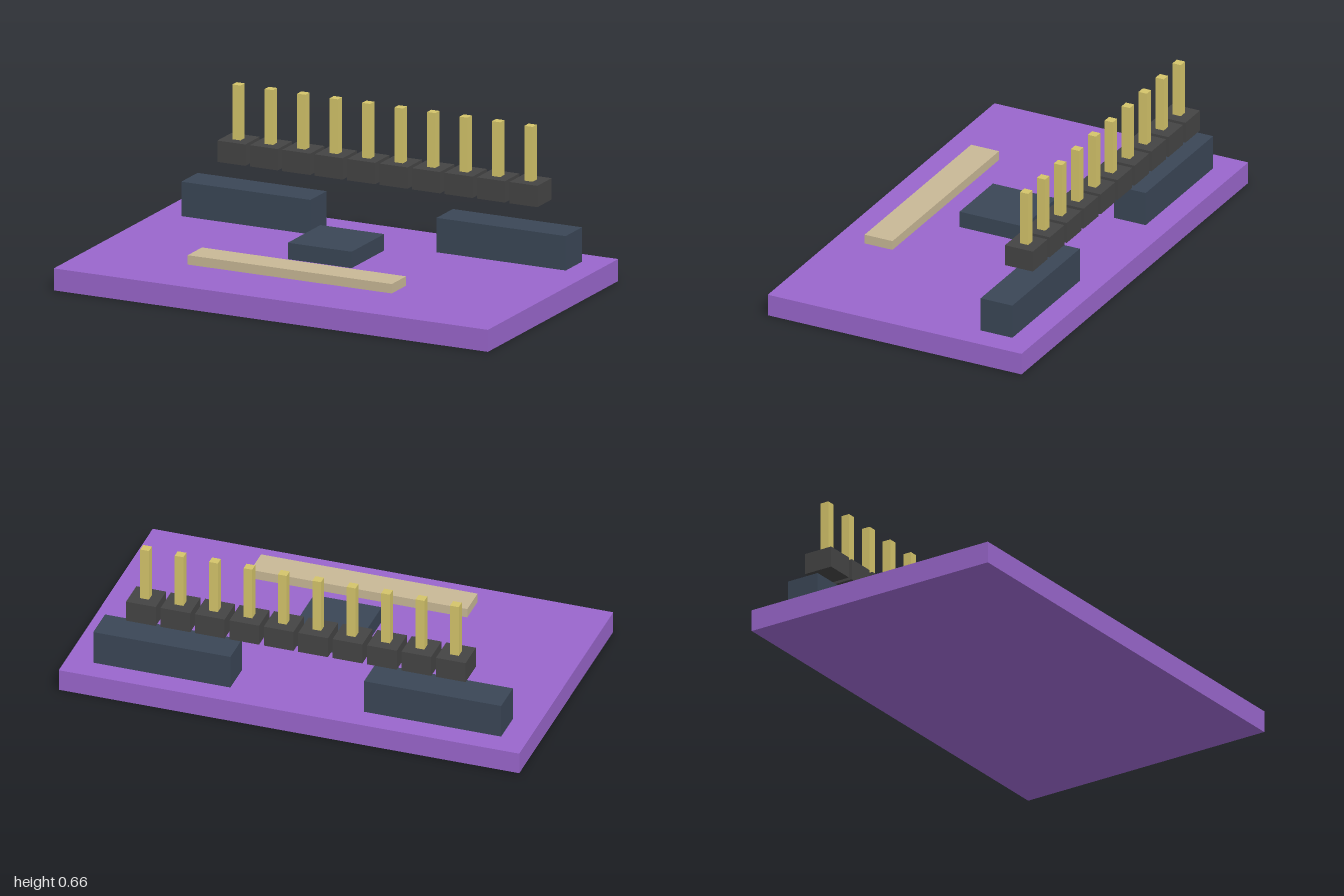
import * as THREE from 'three';

const material = (color) => new THREE.MeshStandardMaterial({ color });

// Box given by its size and the centre of its underside
function addBox(parent, name, mat, [w, h, d], [x, y, z]) {
  const mesh = new THREE.Mesh(new THREE.BoxGeometry(w, h, d), mat);
  mesh.name = name;
  mesh.position.set(x, y + h / 2, z);
  parent.add(mesh);
  return mesh;
}

export function createModel() {
  const model = new THREE.Group();
  model.name = 'circuitBoard';

  const purple = material(0x9966cc);
  const slate = material(0x3a4656);
  const black = material(0x444444);
  const gold = material(0xd4c46a);
  const tan = material(0xc8b896);

  // Base board
  addBox(model, 'board', purple, [2, 0.094, 1.176], [0, 0, 0]);

  // Pair of connectors at the rear
  for (const side of [-1, 1]) {
    addBox(model, side > 0 ? 'leftConnector' : 'rightConnector', slate,
      [0.595, 0.147, 0.147], [side * 0.588, 0.094, -0.412]);
  }

  // Raised chip and strip, floating just above the board
  addBox(model, 'chip', slate, [0.294, 0.07, 0.294], [0, 0.132, 0]);
  addBox(model, 'strip', tan, [0.94, 0.04, 0.129], [0, 0.136, 0.353]);

  // Row of header pins, each with its own block
  const header = new THREE.Group();
  header.name = 'pinHeader';
  const count = 10;
  for (let i = 0; i < count; i++) {
    const x = (i - (count - 1) / 2) * 0.1495;
    addBox(header, 'headerBlock', black, [0.129, 0.091, 0.129], [x, 0.336, -0.438]);
    addBox(header, 'headerPin', gold, [0.038, 0.234, 0.038], [x, 0.427, -0.438]);
  }
  model.add(header);

  return model;
}
